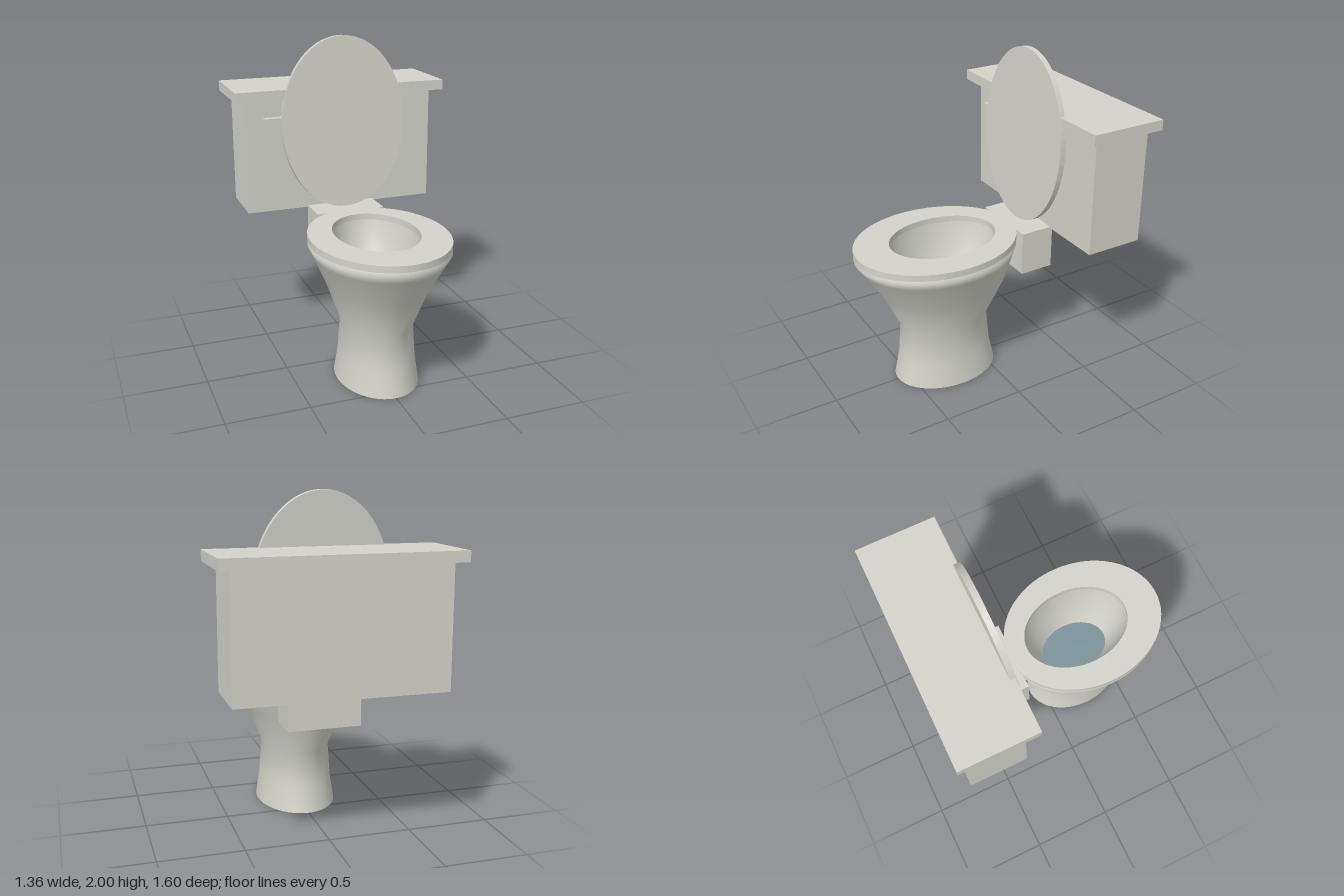
import * as THREE from 'three';

const SIDES = 64;

// Surface through stacked elliptical rings [y, rx, rz, centreZ]; rising rings face outward
function loft(rings) {
  const pos = [], idx = [];
  rings.forEach(([y, rx, rz, cz], r) => {
    for (let i = 0; i < SIDES; i++) {
      const a = (i / SIDES) * Math.PI * 2;
      pos.push(rx * Math.cos(a), y, cz + rz * Math.sin(a));
      if (r === rings.length - 1) continue;
      const p = r * SIDES + i, q = r * SIDES + (i + 1) % SIDES;
      idx.push(p, p + SIDES, q, q, p + SIDES, q + SIDES);
    }
  });
  const g = new THREE.BufferGeometry();
  g.setAttribute('position', new THREE.Float32BufferAttribute(pos, 3));
  g.setIndex(idx);
  g.computeVertexNormals();
  return g;
}

function ellipse(Type, cy, rx, ry) {
  const s = new Type();
  s.absellipse(0, cy, rx, ry, 0, Math.PI * 2);
  return s;
}

export function createModel() {
  const group = new THREE.Group();
  const porcelain = new THREE.MeshStandardMaterial({ color: 0xd3d3cb, side: THREE.DoubleSide });
  porcelain.name = 'porcelain';
  const waterBlue = new THREE.MeshStandardMaterial({ color: 0x7b9299 });
  waterBlue.name = 'water blue';

  const add = (name, geometry, material = porcelain) => {
    const m = new THREE.Mesh(geometry, material);
    m.name = name;
    group.add(m);
    return m;
  };
  // Box given by its limits on each axis
  const box = (name, x0, x1, y0, y1, z0, z1) =>
    add(name, new THREE.BoxGeometry(x1 - x0, y1 - y0, z1 - z0))
      .position.set((x0 + x1) / 2, (y0 + y1) / 2, (z0 + z1) / 2);

  // Pedestal and outer bowl, open underneath
  add('bowlOutside', loft([
    [0, 0.247, 0.335, 0.245],
    [0.16, 0.224, 0.302, 0.247],
    [0.375, 0.21, 0.284, 0.248],
    [0.62, 0.297, 0.405, 0.242],
    [0.81, 0.385, 0.487, 0.278],
    [0.862, 0.41, 0.51, 0.29],
    [0.888, 0.37, 0.475, 0.29],
  ]));

  // Basin inside, down to the water
  add('basin', loft([
    [0.888, 0.25, 0.338, 0.243],
    [0.8, 0.236, 0.32, 0.243],
    [0.7, 0.21, 0.285, 0.243],
    [0.61, 0.18, 0.245, 0.243],
    [0.55, 0.16, 0.216, 0.243],
  ]));
  const water = add('water', new THREE.CircleGeometry(1, SIDES), waterBlue);
  water.scale.set(0.162, 0.218, 1);
  water.rotation.x = -Math.PI / 2;
  water.position.set(0, 0.552, 0.243);

  // Seat ring lying flat
  const seatShape = ellipse(THREE.Shape, -0.29, 0.41, 0.51);
  seatShape.holes.push(ellipse(THREE.Path, -0.243, 0.25, 0.338));
  const seat = add('seat', new THREE.ExtrudeGeometry(seatShape,
    { depth: 0.04, bevelEnabled: false, curveSegments: 32 }));
  seat.rotation.x = -Math.PI / 2;
  seat.position.y = 0.886;

  // Raised lid, leaning back
  const lid = add('lid', new THREE.ExtrudeGeometry(ellipse(THREE.Shape, 0.538, 0.4, 0.538),
    { depth: 0.036, bevelEnabled: false, curveSegments: 32 }));
  lid.rotation.x = -0.05;
  lid.position.set(0, 0.925, -0.316);

  // Neck, tank, tank cover and flush lever
  box('neck', -0.22, 0.22, 0.645, 0.92, -0.405, -0.19);
  box('tank', -0.613, 0.613, 0.91, 1.63, -0.755, -0.392);
  box('tankCover', -0.68, 0.68, 1.627, 1.69, -0.8, -0.326);
  box('flushLever', -0.5, -0.32, 1.488, 1.514, -0.393, -0.348);

  return group;
}
